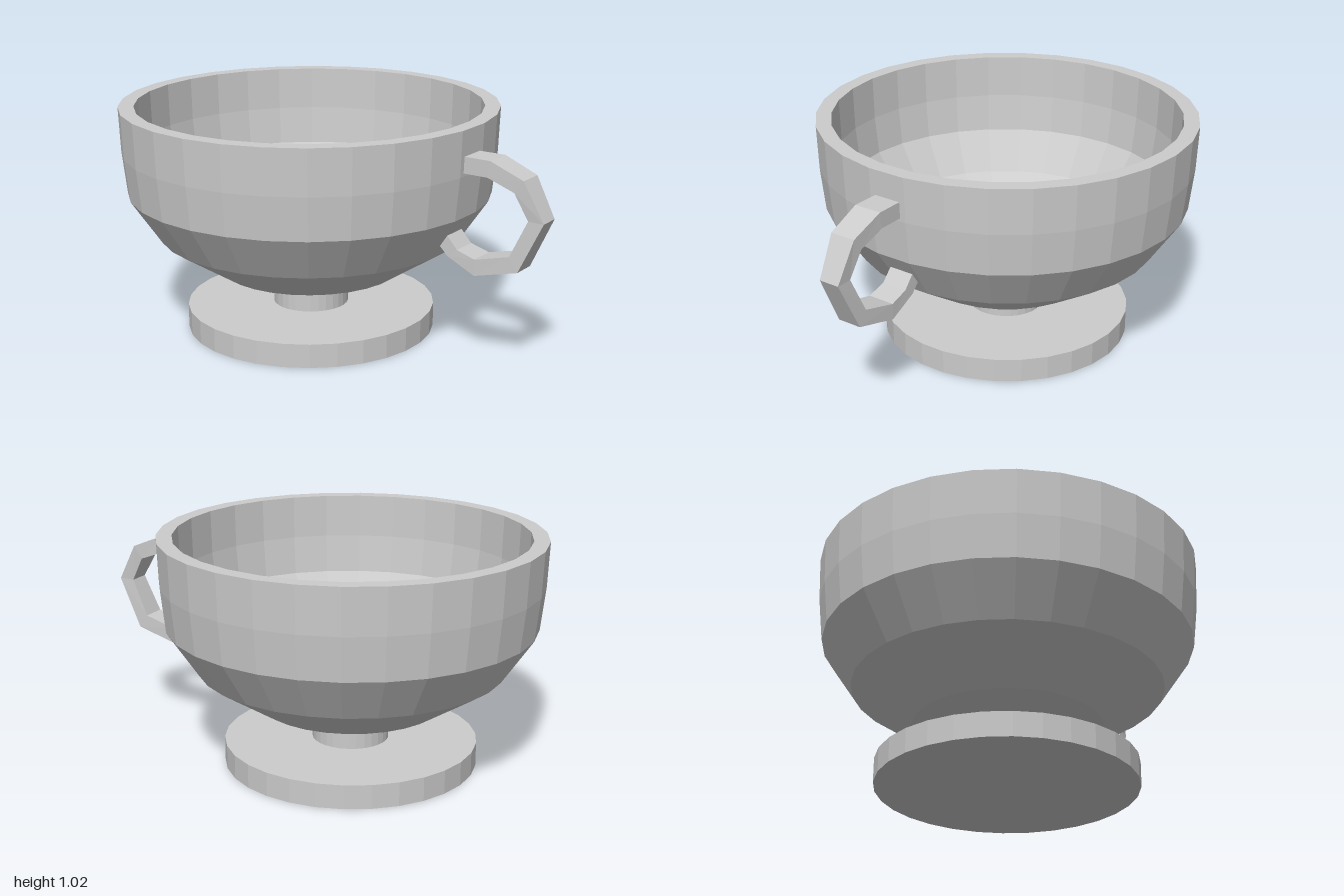
import * as THREE from 'three';

const SIDES = 30;
const AXIS_X = -0.177;

export function createModel() {
  const group = new THREE.Group();
  const material = new THREE.MeshStandardMaterial({ color: 0xcccccc, flatShading: true });

  const add = (name, geometry, x = 0, y = 0) => {
    const mesh = new THREE.Mesh(geometry, material);
    mesh.name = name;
    mesh.position.set(x, y, 0);
    group.add(mesh);
  };

  // Foot disc and the short stem above it
  add('foot', new THREE.CylinderGeometry(0.553, 0.553, 0.105, SIDES), AXIS_X, 0.0525);
  add('stem', new THREE.CylinderGeometry(0.167, 0.167, 0.085, SIDES, 1, true), AXIS_X, 0.1475);

  // Bowl: up the outside, over the rim, down the inside to the floor
  const profile = [
    [0.167, 0.19], [0.407, 0.27], [0.668, 0.438], [0.8, 0.634], [0.82, 0.82], [0.8275, 1.016],
    [0.76, 1.016], [0.755, 0.825], [0.735, 0.655], [0.62, 0.48], [0.38, 0.325], [0.115, 0.25], [0, 0.25],
  ].map(([r, y]) => new THREE.Vector2(r, y));
  add('bowl', new THREE.LatheGeometry(profile, SIDES), AXIS_X);

  // Handle: [outer x, outer y, inner x, inner y, half width], from top to bottom
  add('handle', stripLoft([
    [0.61, 0.905, 0.61, 0.835, 0.06],
    [0.76, 0.905, 0.75, 0.835, 0.062],
    [0.91, 0.845, 0.87, 0.79, 0.057],
    [1.0, 0.68, 0.93, 0.68, 0.046],
    [0.895, 0.46, 0.855, 0.52, 0.054],
    [0.7, 0.41, 0.7, 0.48, 0.06],
    [0.57, 0.47, 0.615, 0.505, 0.058],
    [0.5, 0.54, 0.53, 0.6, 0.056],
  ]));

  return group;
}

// Joins rectangular cross-sections into a closed band
function stripLoft(sections) {
  const positions = [];
  const index = [];
  for (const [ox, oy, ix, iy, w] of sections) {
    positions.push(ox, oy, w, ox, oy, -w, ix, iy, -w, ix, iy, w);
  }
  const quad = (a, b, c, d) => index.push(a, b, c, a, c, d);
  for (let s = 0; s < sections.length - 1; s++) {
    for (let k = 0; k < 4; k++) {
      const a = s * 4 + k;
      const b = s * 4 + (k + 1) % 4;
      quad(a, a + 4, b + 4, b);
    }
  }
  const last = (sections.length - 1) * 4;
  quad(0, 1, 2, 3);
  quad(last + 3, last + 2, last + 1, last);
  const geometry = new THREE.BufferGeometry();
  geometry.setAttribute('position', new THREE.Float32BufferAttribute(positions, 3));
  geometry.setIndex(index);
  geometry.computeVertexNormals();
  return geometry;
}
